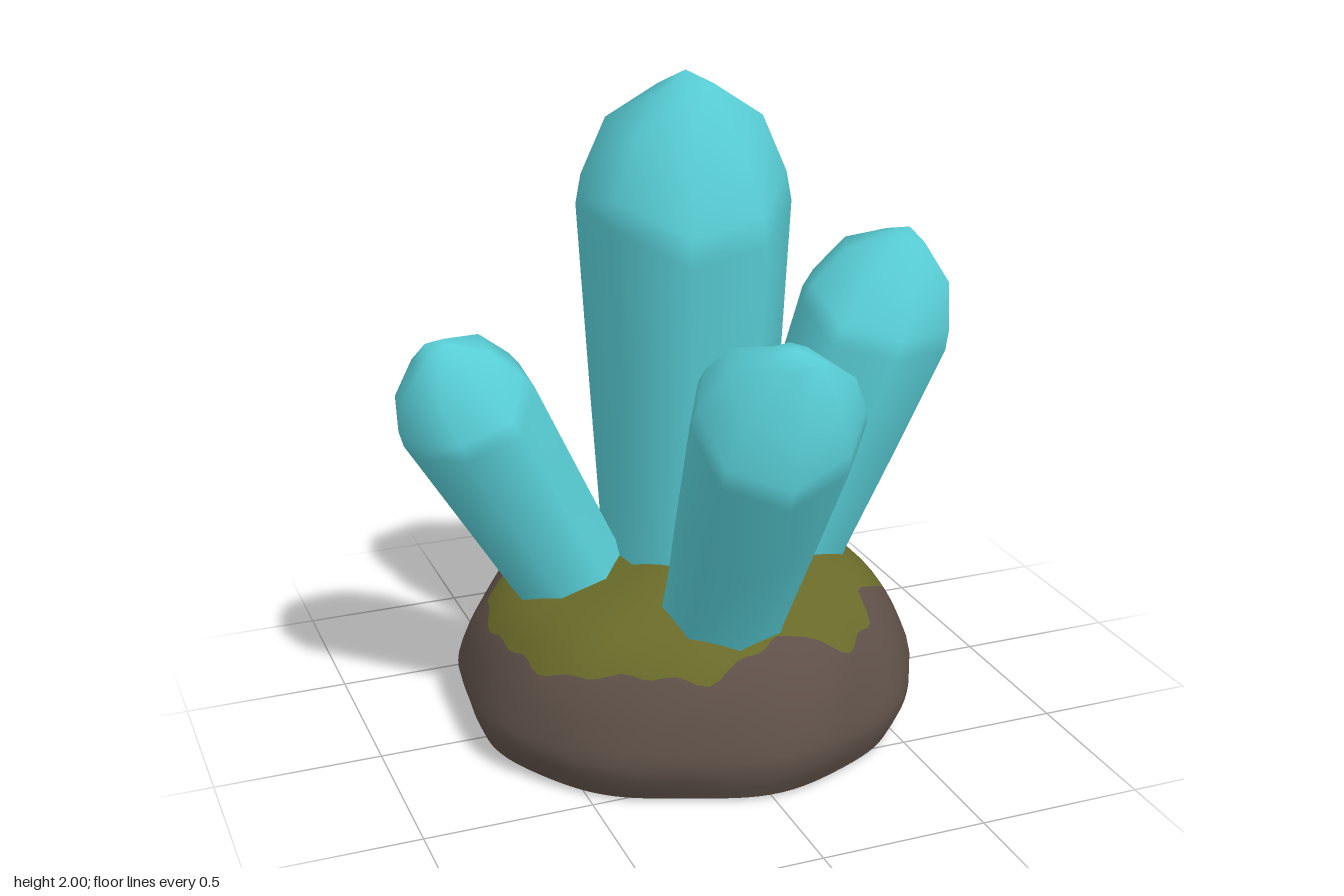
import * as THREE from 'three';

const rockMat = new THREE.MeshStandardMaterial({ color: 0x5e5048 });
rockMat.name = 'brown rock';
const mossMat = new THREE.MeshStandardMaterial({ color: 0x696a29 });
mossMat.name = 'olive moss';
const crystalMat = new THREE.MeshStandardMaterial({ color: 0x57cbd3 });
crystalMat.name = 'turquoise crystal';

// Closed skin over equal rings of points, ending in one apex point.
// From ring number "split" on, faces belong to the second material.
function loft(rings, apex, split) {
  const n = rings[0].length, index = [];
  const points = [...rings.flat(), apex];
  let firstCount = 0;
  rings.forEach((ring, j) => {
    if (j === split) firstCount = index.length;
    for (let i = 0; i < n; i++) {
      const k = (i + 1) % n, a = j * n + i, b = j * n + k;
      if (j === rings.length - 1) index.push(a, points.length - 1, b);
      else index.push(a, a + n, b, b, a + n, b + n);
    }
  });
  const g = new THREE.BufferGeometry().setFromPoints(points);
  g.setIndex(index);
  if (split) {
    g.addGroup(0, firstCount, 0);
    g.addGroup(firstCount, index.length - firstCount, 1);
  }
  g.computeVertexNormals();
  return g;
}

// Rock profile: radius and height from the ground to the crown
const profile = new THREE.SplineCurve([
  [0.675, 0.01], [0.715, 0.11], [0.69, 0.21], [0.655, 0.29], [0.6, 0.37],
  [0.52, 0.435], [0.38, 0.49], [0.2, 0.55], [0.05, 0.57],
].map(([r, y]) => new THREE.Vector2(r, y)));

function profileAt(y) {
  let lo = 0, hi = 1;
  for (let i = 0; i < 25; i++) {
    const m = (lo + hi) / 2;
    if (profile.getPoint(m).y < y) lo = m; else hi = m;
  }
  return lo;
}

function rockPoint(angle, t, lift = 0) {
  const p = profile.getPoint(t);
  const bump = 1 + 0.012 * Math.sin(5 * angle + 1) + 0.01 * Math.sin(9 * angle + 7 * t);
  const r = p.x * bump + lift;
  const swell = 0.014 * Math.sin(3 * angle + 2) * t * Math.min(1, p.x * 4);
  return new THREE.Vector3(r * Math.cos(angle) - 0.005, p.y + swell + lift, r * Math.sin(angle) - 0.035);
}

// Lower edge of the moss, one height every 15 degrees from +x towards +z
const mossEdge = [
  0.28, 0.34, 0.42, 0.36, 0.35, 0.43, 0.41, 0.35, 0.36, 0.35, 0.33, 0.34,
  0.33, 0.35, 0.39, 0.36, 0.42, 0.40, 0.46, 0.45, 0.38, 0.38, 0.39, 0.27,
];

function mossHeight(angle) {
  const u = (angle / (Math.PI * 2)) * mossEdge.length;
  const i = Math.floor(u), f = u - i, s = f * f * (3 - 2 * f);
  const a = mossEdge[i % 24], b = mossEdge[(i + 1) % 24];
  return a + (b - a) * s + 0.008 * Math.sin(angle * 23);
}

function makeRock() {
  const group = new THREE.Group();
  group.name = 'rockBase';
  const columns = 120, low = 10, high = 10;
  const rings = [];
  for (let j = 0; j <= low + high; j++) {
    const ring = [];
    for (let i = 0; i < columns; i++) {
      const angle = (i / columns) * Math.PI * 2;
      const edge = profileAt(mossHeight(angle));
      const t = j <= low ? edge * j / low : edge + (1 - edge) * (j - low) / high;
      ring.push(rockPoint(angle, t));
    }
    rings.push(ring);
  }
  const body = new THREE.Mesh(loft(rings, new THREE.Vector3(0, 0.57, -0.035), low), [rockMat, mossMat]);
  body.name = 'mossyRock';
  group.add(body);

  // Flat underside, reversed so it faces down
  const under = new THREE.Mesh(loft([rings[0].slice().reverse()], new THREE.Vector3(0, 0, -0.035)), rockMat);
  under.name = 'rockUnderside';
  group.add(under);

  // Small separate moss spots: angle, height, half angle, half height, slant
  for (const [angle, y, da, dy, slant] of [
    [-0.02, 0.15, 0.1, 0.032, -0.04],
    [-1.79, 0.375, 0.13, 0.025, 0.01],
  ]) {
    const ring = Array.from({ length: 20 }, (_, i) => {
      const q = -(i / 20) * Math.PI * 2, w = 1 + 0.18 * Math.sin(3 * q);
      const c = Math.cos(q) * w, s = Math.sin(q) * w;
      return rockPoint(angle + da * c, profileAt(y + dy * s + slant * c), 0.005);
    }).reverse();
    const mid = rockPoint(angle, profileAt(y), 0.006);
    const spot = new THREE.Mesh(loft([ring.reverse()], mid), mossMat);
    spot.name = 'mossSpot';
    group.add(spot);
  }
  return group;
}

// Eight-sided crystal that widens to a shoulder and closes in a blunt point
function makeCrystal({ name, base, tip, point, r0, r1, phase }) {
  const from = new THREE.Vector3(...base), axis = new THREE.Vector3(...tip).sub(from);
  const length = axis.length(), shoulder = length - point, sides = 8;
  const rows = [
    [-0.12, r0 * 1.02], [shoulder * 0.1, r0 * 1.02], [shoulder * 0.55, r0 * 0.45 + r1 * 0.55],
    [shoulder * 0.96, r1], [shoulder + point * 0.1, r1 * 0.95],
    [shoulder + point * 0.52, r1 * 0.72], [shoulder + point * 0.9, r1 * 0.26],
  ];
  const rings = rows.map(([h, r], j) => Array.from({ length: sides }, (_, i) => {
    const a = ((i + phase) / sides) * Math.PI * 2;
    const wob = 1.02 + 0.035 * Math.sin(i * 2.4 + phase * 9);
    const rise = j > 2 && j < 6 ? 0.16 * point * Math.sin(i * 1.57 + phase * 5) : 0;
    return new THREE.Vector3(Math.cos(a) * r * wob, h + rise, Math.sin(a) * r * wob);
  }));
  const mesh = new THREE.Mesh(loft(rings, new THREE.Vector3(0, length, 0)), crystalMat);
  mesh.name = name;
  mesh.position.copy(from);
  mesh.quaternion.setFromUnitVectors(new THREE.Vector3(0, 1, 0), axis.normalize());
  return mesh;
}

export function createModel() {
  const model = new THREE.Group();
  model.name = 'crystalCluster';
  model.add(makeRock());
  const crystals = [
    { name: 'centreCrystal', base: [0, 0.42, -0.04], tip: [0, 2, -0.04], point: 0.4, r0: 0.245, r1: 0.31, phase: 0.4 },
    { name: 'leftCrystal', base: [0.35, 0.46, -0.075], tip: [0.745, 1.46, -0.05], point: 0.32, r0: 0.19, r1: 0.25, phase: 0.1 },
    { name: 'rightCrystal', base: [-0.36, 0.46, -0.1], tip: [-0.775, 1.235, -0.14], point: 0.26, r0: 0.18, r1: 0.22, phase: 0.55 },
    { name: 'frontCrystal', base: [-0.02, 0.46, 0.32], tip: [0, 1.4, 0.765], point: 0.28, r0: 0.19, r1: 0.245, phase: 0.2 },
    { name: 'backCrystal', base: [0.08, 0.46, -0.38], tip: [0.2, 1.21, -0.775], point: 0.27, r0: 0.165, r1: 0.21, phase: 0.7 },
  ];
  crystals.forEach((c) => model.add(makeCrystal(c)));
  return model;
}
